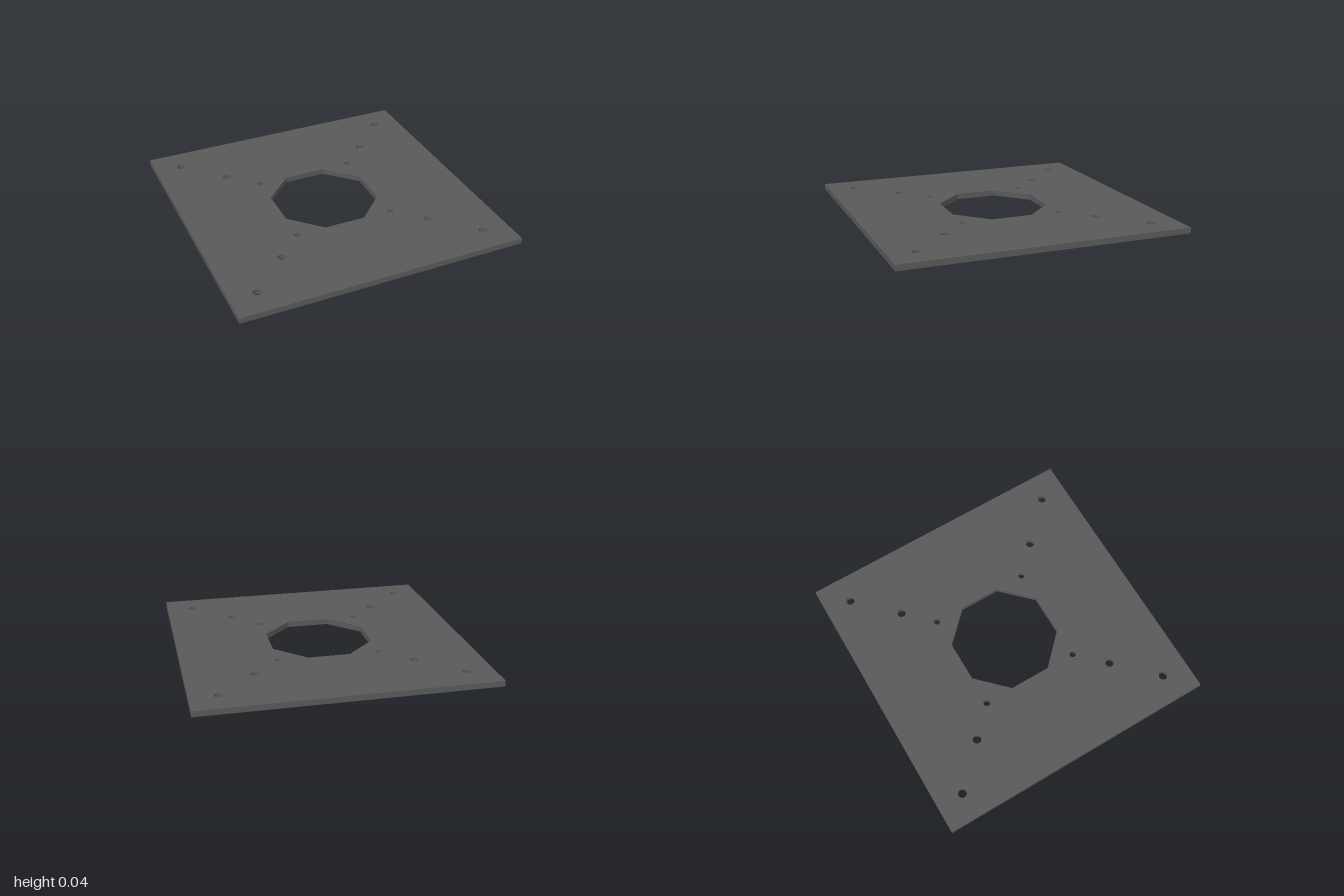
import * as THREE from 'three';

const THICKNESS = 0.04;

// Closed regular polygon or circle, usable as a hole
function ring(x, y, radius, sides, turn = 0) {
  const points = [];
  for (let i = 0; i < sides; i++) {
    const a = turn - (i / sides) * Math.PI * 2;
    points.push(new THREE.Vector2(x + radius * Math.cos(a), y + radius * Math.sin(a)));
  }
  return new THREE.Path(points);
}

export function createModel() {
  const group = new THREE.Group();
  group.name = 'mountingPlate';

  // Square outline
  const outline = new THREE.Shape();
  outline.moveTo(-1, -1).lineTo(1, -1).lineTo(1, 1).lineTo(-1, 1).closePath();

  // Octagonal centre opening, 0.7 across its flats
  outline.holes.push(ring(0, 0, 0.35 / Math.cos(Math.PI / 8), 8, Math.PI / 8));

  // Three bolt holes along each diagonal: [offset, radius]
  for (const [offset, radius] of [[0.352, 0.023], [0.54, 0.03], [0.811, 0.03]]) {
    for (const sx of [-1, 1]) {
      for (const sy of [-1, 1]) outline.holes.push(ring(sx * offset, sy * offset, radius, 32));
    }
  }

  // Flat plate lying on the ground
  const geometry = new THREE.ExtrudeGeometry(outline, { depth: THICKNESS, bevelEnabled: false });
  geometry.rotateX(-Math.PI / 2);
  const plate = new THREE.Mesh(geometry, new THREE.MeshStandardMaterial({ color: 0x595959 }));
  plate.name = 'plate';
  group.add(plate);
  return group;
}
